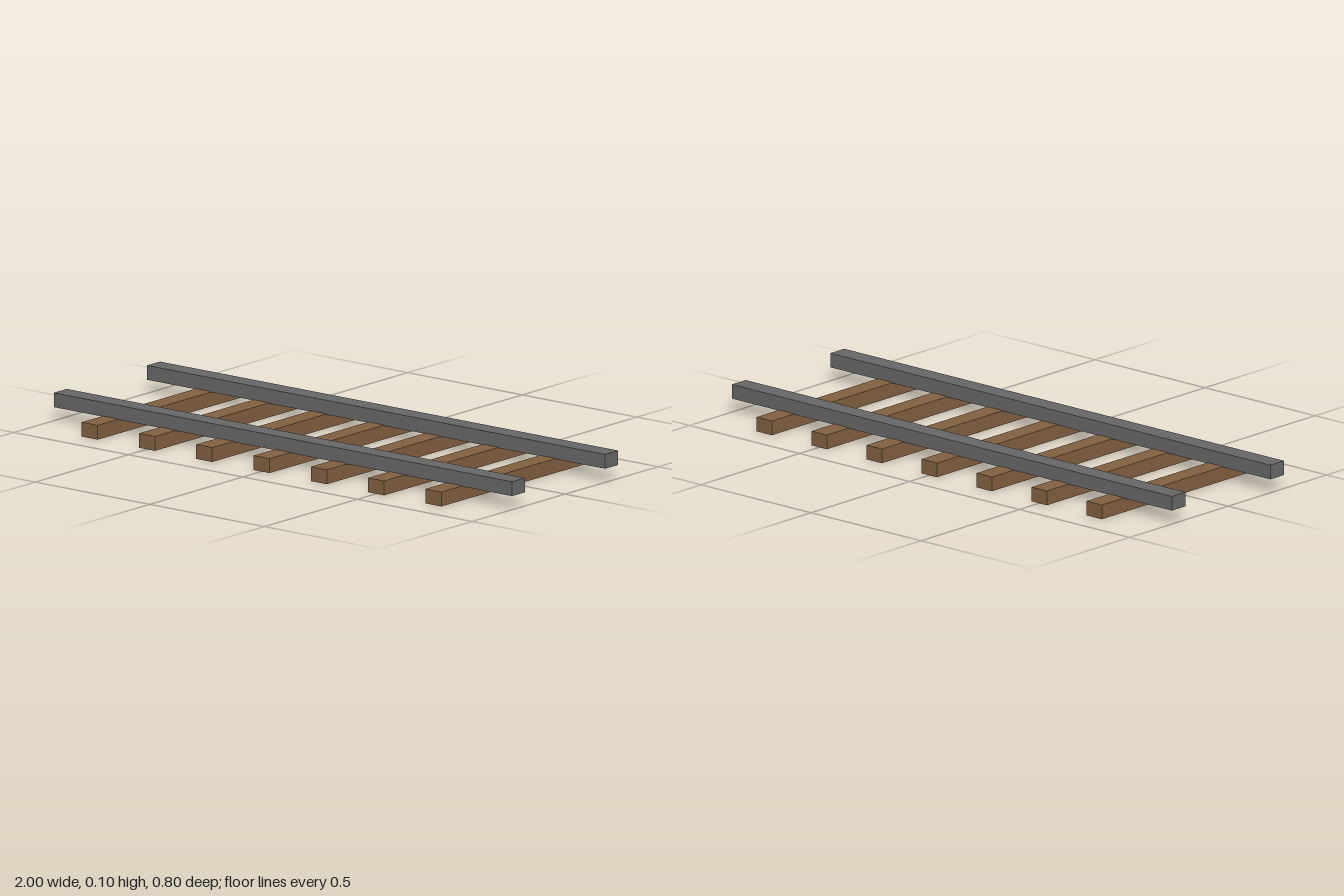
import * as THREE from 'three';

export function createModel() {
  const model = new THREE.Group();
  model.name = 'railwayTrack';

  const wood = new THREE.MeshStandardMaterial({ color: 0x805f40 });
  wood.name = 'brown wood';
  const steel = new THREE.MeshStandardMaterial({ color: 0x666666 });
  steel.name = 'grey steel';

  const addBeam = (name, geometry, material, x, y, z) => {
    const beam = new THREE.Mesh(geometry, material);
    beam.name = name;
    beam.position.set(x, y, z);
    model.add(beam);
  };

  // Seven evenly spaced sleepers resting on the ground
  const sleeper = new THREE.BoxGeometry(0.07, 0.05, 0.8);
  for (let i = -3; i <= 3; i++) {
    addBeam(`sleeper${i + 4}`, sleeper, wood, i * 0.25, 0.025, 0);
  }

  // Two rails, sunk slightly into the sleepers
  const rail = new THREE.BoxGeometry(2, 0.05, 0.07);
  addBeam('frontRail', rail, steel, 0, 0.0725, 0.25);
  addBeam('backRail', rail, steel, 0, 0.0725, -0.25);

  return model;
}
